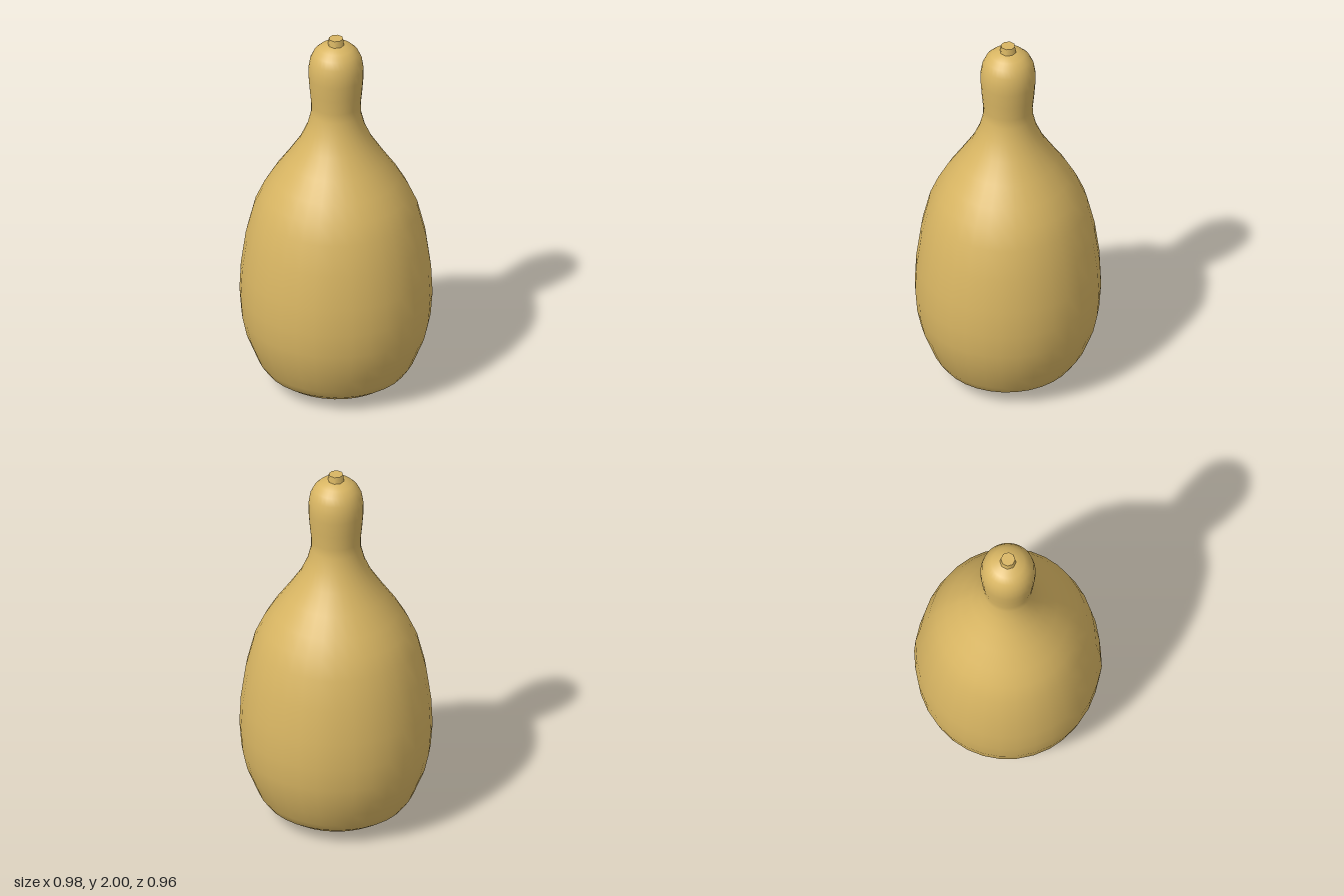
import * as THREE from 'three';
import { mergeVertices } from 'three/addons/utils/BufferGeometryUtils.js';

const SEGMENTS = 32;

// Revolves a profile, then flattens it slightly in z towards the wide belly
function gourdSkin(profile) {
  const lathe = new THREE.LatheGeometry(profile.map(([r, y]) => new THREE.Vector2(r, y)), SEGMENTS);
  lathe.deleteAttribute('uv');
  lathe.deleteAttribute('normal');
  const geometry = mergeVertices(lathe, 1e-4);
  const p = geometry.attributes.position;
  for (let i = 0; i < p.count; i++) {
    const x = p.getX(i), y = p.getY(i), z = p.getZ(i);
    const flatten = 1 - 0.038 * (1 - THREE.MathUtils.smoothstep(y, 1.0, 1.5));
    // faint ridge along the front and back
    const ridge = Math.abs(x) < 1e-3 && y > 0.1 && y < 1.3 ? 1.012 : 1;
    p.setZ(i, z * flatten * ridge);
  }
  geometry.computeVertexNormals();
  return geometry;
}

export function createModel() {
  const group = new THREE.Group();
  group.name = 'bottleGourd';
  const tan = new THREE.MeshStandardMaterial({ color: 0xd9b663 });
  tan.name = 'dried gourd tan';

  const add = (name, geometry, y = 0) => {
    const mesh = new THREE.Mesh(geometry, tan);
    mesh.name = name;
    mesh.position.y = y;
    group.add(mesh);
    return mesh;
  };

  // Belly, waist and rounded neck, from base to crown
  add('gourdBody', gourdSkin([
    [0.175, 0.004], [0.235, 0.018], [0.3, 0.045], [0.365, 0.09], [0.4, 0.14],
    [0.43, 0.215], [0.46, 0.29], [0.482, 0.39], [0.492, 0.52], [0.485, 0.67],
    [0.46, 0.85], [0.42, 1.01], [0.375, 1.11], [0.322, 1.2], [0.252, 1.3],
    [0.187, 1.4], [0.147, 1.49], [0.127, 1.57], [0.126, 1.62], [0.134, 1.7],
    [0.14, 1.78], [0.14, 1.83], [0.132, 1.88], [0.113, 1.92], [0.085, 1.947],
    [0.045, 1.964], [0, 1.966],
  ]));

  // Flat disc the gourd stands on
  const base = add('base', new THREE.CircleGeometry(0.175, SEGMENTS), 0.004);
  base.rotation.x = Math.PI / 2;
  base.scale.y = 0.962;

  // Cut stem stub
  add('stem', new THREE.CylinderGeometry(0.037, 0.044, 0.05, 8), 1.975);

  return group;
}
